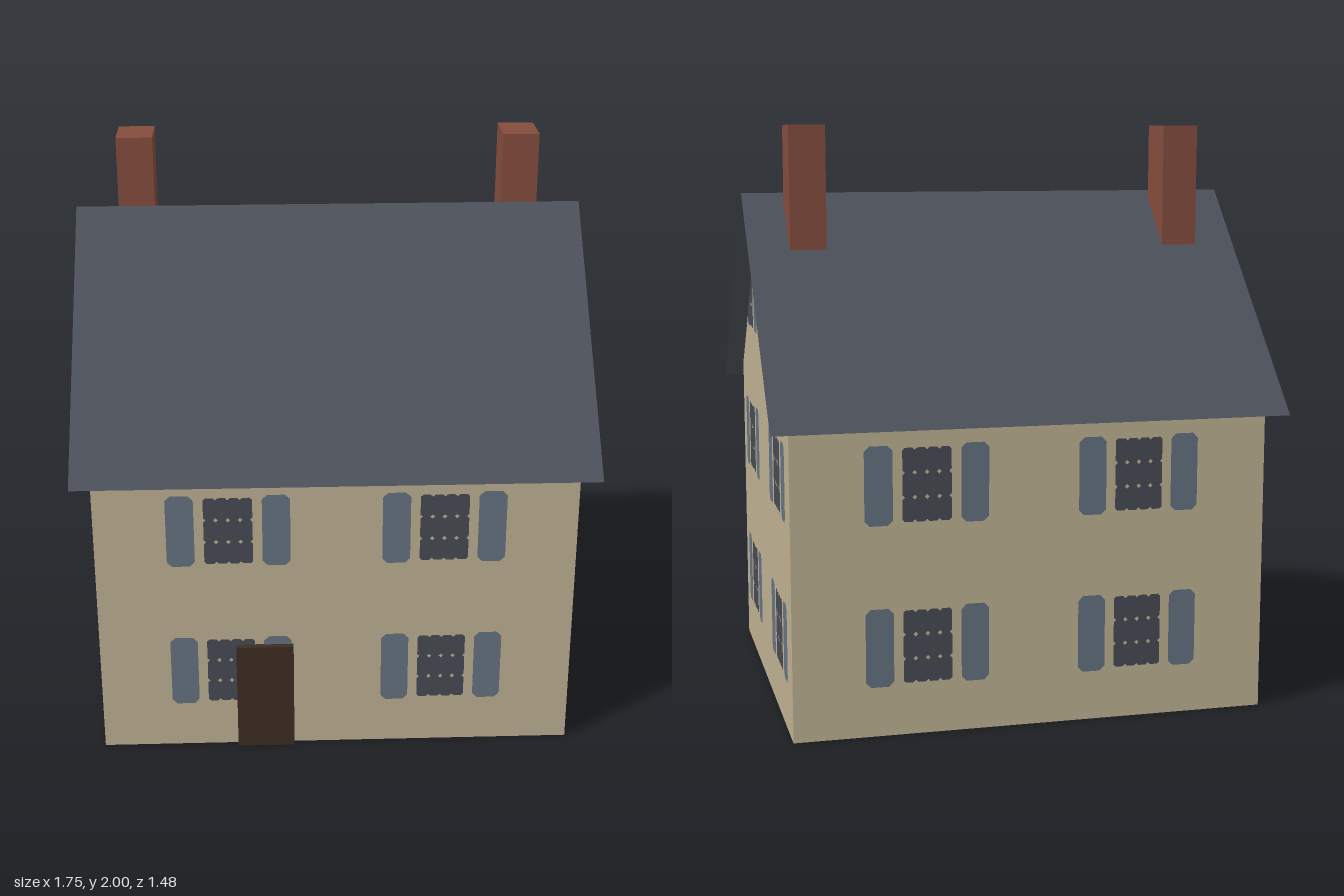
import * as THREE from 'three';

const mat = (name, color, side = THREE.FrontSide) => {
  const m = new THREE.MeshStandardMaterial({ color, side });
  m.name = name;
  return m;
};

const HALF_W = 0.8125, HALF_D = 0.675, RIDGE = 1.766, EAVE = 1.03, OVERHANG = 0.738;
const WIN_X = 0.3625, ROWS = [0.3, 0.842, 1.385];

// Rectangle with cut corners, as a list of points
function cutRect(cx, cy, w, h, c) {
  const a = w / 2, b = h / 2;
  return [[a - c, -b], [a, c - b], [a, b - c], [a - c, b], [c - a, b], [-a, b - c], [-a, c - b], [c - a, -b]]
    .map(([x, y]) => [cx + x, cy + y]);
}

// Keep the part of a convex polygon below the roof slope on one side
function clipSlope(pts, sign) {
  const room = ([x, y]) => RIDGE - 0.006 - y - sign * x;
  const out = [];
  pts.forEach((p, i) => {
    const q = pts[(i + 1) % pts.length], dp = room(p), dq = room(q);
    if (dp >= 0) out.push(p);
    if (dp * dq < 0) {
      const t = dp / (dp - dq);
      out.push([p[0] + t * (q[0] - p[0]), p[1] + t * (q[1] - p[1])]);
    }
  });
  return out;
}

// Flat panes and shutters for one wall, facing +z
function windowSet(name, rows, mats, gable = false) {
  const panes = [], shutters = [];
  for (const cy of rows) for (const sign of [-1, 1]) {
    const cx = sign * WIN_X;
    const add = (list, pts) => {
      const kept = gable ? clipSlope(pts, sign) : pts;
      if (kept.length > 2) list.push(new THREE.Shape(kept.map(p => new THREE.Vector2(...p))));
    };
    for (const s of [-1, 1]) add(shutters, cutRect(cx + s * 0.161, cy, 0.094, 0.264, 0.017));
    // Small panes whose cut corners leave specks of wall between them
    for (let i = 0; i < 4; i++) for (let j = 0; j < 3; j++) {
      add(panes, cutRect(cx + (i - 1.5) * 0.041, cy + (j - 1) * 0.082, 0.041, 0.082, 0.008));
    }
  }
  const group = new THREE.Group();
  group.name = name;
  const paneMesh = new THREE.Mesh(new THREE.ShapeGeometry(panes), mats.glass);
  paneMesh.name = 'windowPanes';
  const shutterMesh = new THREE.Mesh(new THREE.ShapeGeometry(shutters), mats.shutter);
  shutterMesh.name = 'shutters';
  group.add(paneMesh, shutterMesh);
  return group;
}

export function createModel() {
  const house = new THREE.Group();
  house.name = 'house';
  const mats = {
    wall: mat('sandstone wall', 0xbdb092),
    roof: mat('slate roof', 0x4d515a, THREE.DoubleSide),
    brick: mat('chimney brick', 0x834c3d),
    door: mat('dark wood', 0x3d2d22),
    glass: mat('window grey', 0x474a54),
    shutter: mat('shutter blue', 0x647281),
  };
  const add = (name, geometry, material, x, y, z) => {
    const mesh = new THREE.Mesh(geometry, material);
    mesh.name = name;
    mesh.position.set(x, y, z);
    house.add(mesh);
    return mesh;
  };

  // Walls: gable outline extruded along the house
  const top = RIDGE - 0.004;
  const outline = new THREE.Shape([[-HALF_D, 0], [HALF_D, 0], [HALF_D, top - HALF_D], [0, top], [-HALF_D, top - HALF_D]]
    .map(p => new THREE.Vector2(...p)));
  const body = new THREE.ExtrudeGeometry(outline, { depth: 2 * HALF_W, bevelEnabled: false });
  body.translate(0, 0, -HALF_W).rotateY(Math.PI / 2);
  add('walls', body, mats.wall, 0, 0, 0);

  // Roof: two thin overhanging slopes
  const drop = RIDGE - EAVE, angle = Math.atan2(drop, OVERHANG);
  for (const s of [1, -1]) {
    const slope = new THREE.PlaneGeometry(1.754, Math.hypot(drop, OVERHANG));
    slope.rotateX(angle - Math.PI / 2);
    if (s < 0) slope.rotateY(Math.PI);
    add(s > 0 ? 'frontRoof' : 'backRoof', slope, mats.roof, 0, (RIDGE + EAVE) / 2, s * OVERHANG / 2);
  }

  // Chimneys behind the ridge
  for (const s of [1, -1]) {
    add(s > 0 ? 'leftChimney' : 'rightChimney', new THREE.BoxGeometry(0.126, 0.5, 0.16), mats.brick, s * 0.67, 1.75, -0.11);
  }

  // Door
  add('door', new THREE.BoxGeometry(0.197, 0.4, 0.03), mats.door, -0.246, 0.2, 0.682);

  // Windows on every wall, and the same pattern on the underside
  const lift = 0.002;
  const front = windowSet('frontWindows', ROWS.slice(0, 2), mats);
  front.position.z = HALF_D + lift;
  const back = windowSet('backWindows', ROWS.slice(0, 2), mats);
  back.position.z = -HALF_D - lift;
  back.rotation.y = Math.PI;
  house.add(front, back);
  for (const s of [1, -1]) {
    const side = windowSet(s > 0 ? 'leftWindows' : 'rightWindows', ROWS, mats, true);
    side.position.x = s * (HALF_W + lift);
    side.rotation.y = s * Math.PI / 2;
    house.add(side);
  }
  const under = windowSet('undersidePattern', [-0.3, 0.242], mats);
  under.rotation.x = Math.PI / 2;
  under.position.y = -lift;
  house.add(under);

  return house;
}
